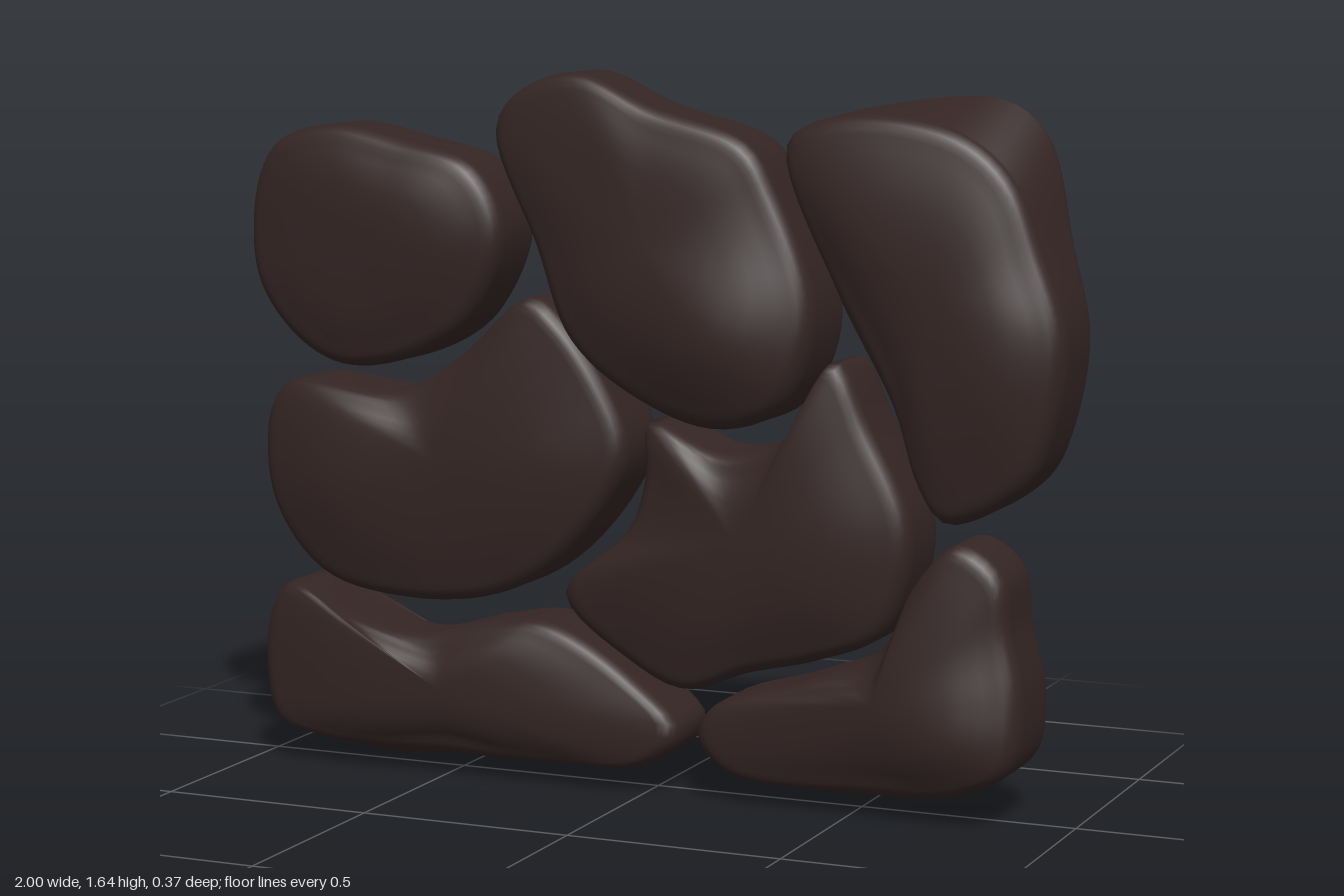
import * as THREE from 'three';
import { mergeVertices } from 'three/addons/utils/BufferGeometryUtils.js';

const SEGMENTS = 80;
const EDGE = 0.045; // radius of the rounded edge
const WALL = 0.065; // half depth of the straight side
const DOME = 0.03; // rise of the face above the edge
const FULL = WALL + EDGE + DOME;

// Half section from face centre to rim: share of the way to the centre, inset distance, depth
const half = [1, 0.8, 0.6, 0.4, 0.25, 0.1].map((share) => (
  { share, inset: EDGE, depth: FULL - DOME * (1 - share) ** 3 }));
for (let k = 0; k <= 5; k++) {
  const a = (k / 5) * Math.PI / 2;
  half.push({ share: 0, inset: EDGE * (1 - Math.sin(a)), depth: WALL + EDGE * Math.cos(a) });
}
const RINGS = [
  ...half.map((s) => ({ ...s, side: 1 })),
  ...half.map((s) => ({ ...s, side: -1 })).reverse(),
];

const falloff = (x, y, px, py, r) => Math.exp(-((x - px) ** 2 + (y - py) ** 2) / (r * r));

// outline: x, y pairs in hundredths, clockwise. front, back: swelling at x, y by a height.
// push: rear rim near x, y shifted by dx, dy.
function stoneGeometry(outline, front, back, push) {
  const corners = [];
  for (let i = 0; i < outline.length; i += 2) {
    corners.push(new THREE.Vector3(outline[i] / 100, outline[i + 1] / 100, 0));
  }
  const rim = new THREE.CatmullRomCurve3(corners, true, 'centripetal').getSpacedPoints(SEGMENTS).slice(0, SEGMENTS);
  const centre = new THREE.Vector3();
  rim.forEach((p) => centre.addScaledVector(p, 1 / SEGMENTS));

  const positions = [];
  const index = [];
  RINGS.forEach(({ share, inset, depth, side }, j) => {
    rim.forEach((p, i) => {
      let { x, y } = p;
      // rear rim shift
      if (side < 0 && push) {
        const w = falloff(p.x, p.y, push[0], push[1], 0.25);
        x += push[2] * w;
        y += push[3] * w;
      }
      // draw the ring in towards the centre
      const t = share + (1 - share) * Math.min(0.4, inset / p.distanceTo(centre));
      x += (centre.x - x) * t;
      y += (centre.y - y) * t;
      // swelling and gentle unevenness, fading towards the rim
      const [px, py, height] = side > 0 ? front : back;
      const swell = height * falloff(x, y, px, py, 0.2)
        + 0.006 * Math.sin(9 * x + 4 * y + side) * Math.cos(8 * y - 3 * x);
      positions.push(x, y, side * (depth + swell * depth / FULL));

      if (j < RINGS.length - 1) {
        const n = (i + 1) % SEGMENTS;
        const a = j * SEGMENTS + i;
        const d = j * SEGMENTS + n;
        index.push(a, d, a + SEGMENTS, d, d + SEGMENTS, a + SEGMENTS);
      }
    });
  });

  const raw = new THREE.BufferGeometry();
  raw.setAttribute('position', new THREE.Float32BufferAttribute(positions, 3));
  raw.setIndex(index);
  const geometry = mergeVertices(raw, 1e-5);
  geometry.computeVertexNormals();
  return geometry;
}

export function createModel() {
  const group = new THREE.Group();
  group.name = 'stoneWall';
  const material = new THREE.MeshStandardMaterial({ color: 0x342524 });

  const addStone = (name, outline, front, back, push) => {
    const mesh = new THREE.Mesh(stoneGeometry(outline, front, back, push), material);
    mesh.name = name;
    group.add(mesh);
  };

  // top row
  addStone('upperRightStone',
    [-99, 137, -93, 147, -79, 151, -61, 148, -42, 142, -35, 127, -44, 107, -58, 98, -76, 95, -89, 101, -99, 115],
    [-0.6, 1.3, 0.01], [-0.8, 1.25, 0.025]);
  addStone('upperMiddleStone',
    [-37, 151, -32, 159, -17, 164, 1, 157, 25, 149, 32, 138, 41, 115, 40, 102, 33, 90, 18, 85, 0, 90, -18, 103, -27, 125],
    [0.2, 1.05, 0.055], [0.24, 1.25, 0.055]);
  addStone('upperLeftStone',
    [34, 149, 40, 154, 56, 156, 75, 152, 86, 143, 93, 127, 99, 109, 96, 88, 90, 76, 72, 67, 66, 74, 60, 91, 46, 117],
    [0.84, 1.0, 0.025], [0.78, 1.42, 0.045], [0.84, 1.48, 0.03, 0.085]);

  // middle row
  addStone('middleRightStone',
    [-96, 84, -90, 91, -61, 90, -47, 98, -28, 113, -20, 108, -9, 93, -4, 79, -9, 67, -23, 51, -39, 43, -61, 41, -82, 46, -95, 63],
    [-0.78, 0.7, 0.04], [-0.3, 0.8, 0.05]);
  addStone('middleLeftStone',
    [-20, 45, -4, 61, 0, 73, 1, 86, 18, 80, 34, 84, 46, 102, 54, 88, 64, 67, 63, 53, 57, 41, 41, 34, 25, 30, 10, 25, -3, 30],
    [0.48, 0.6, 0.02], [0.25, 0.5, 0.035]);

  // bottom row
  addStone('lowerRightStone',
    [-98, 20, -97, 35, -91, 43, -74, 36, -58, 33, -39, 37, -24, 38, -2, 26, 9, 15, 1, 7, -21, 5, -53, 5, -83, 6, -95, 10],
    [-0.7, 0.2, 0.02], [-0.85, 0.16, 0.025], [-0.7, 0.04, -0.015, -0.05]);
  addStone('lowerLeftStone',
    [13, 15, 17, 22, 37, 29, 57, 38, 66, 55, 75, 63, 85, 57, 87, 44, 90, 30, 88, 14, 76, 7, 54, 5, 20, 7],
    [0.8, 0.17, 0.035], [0.8, 0.18, 0.025]);

  return group;
}
